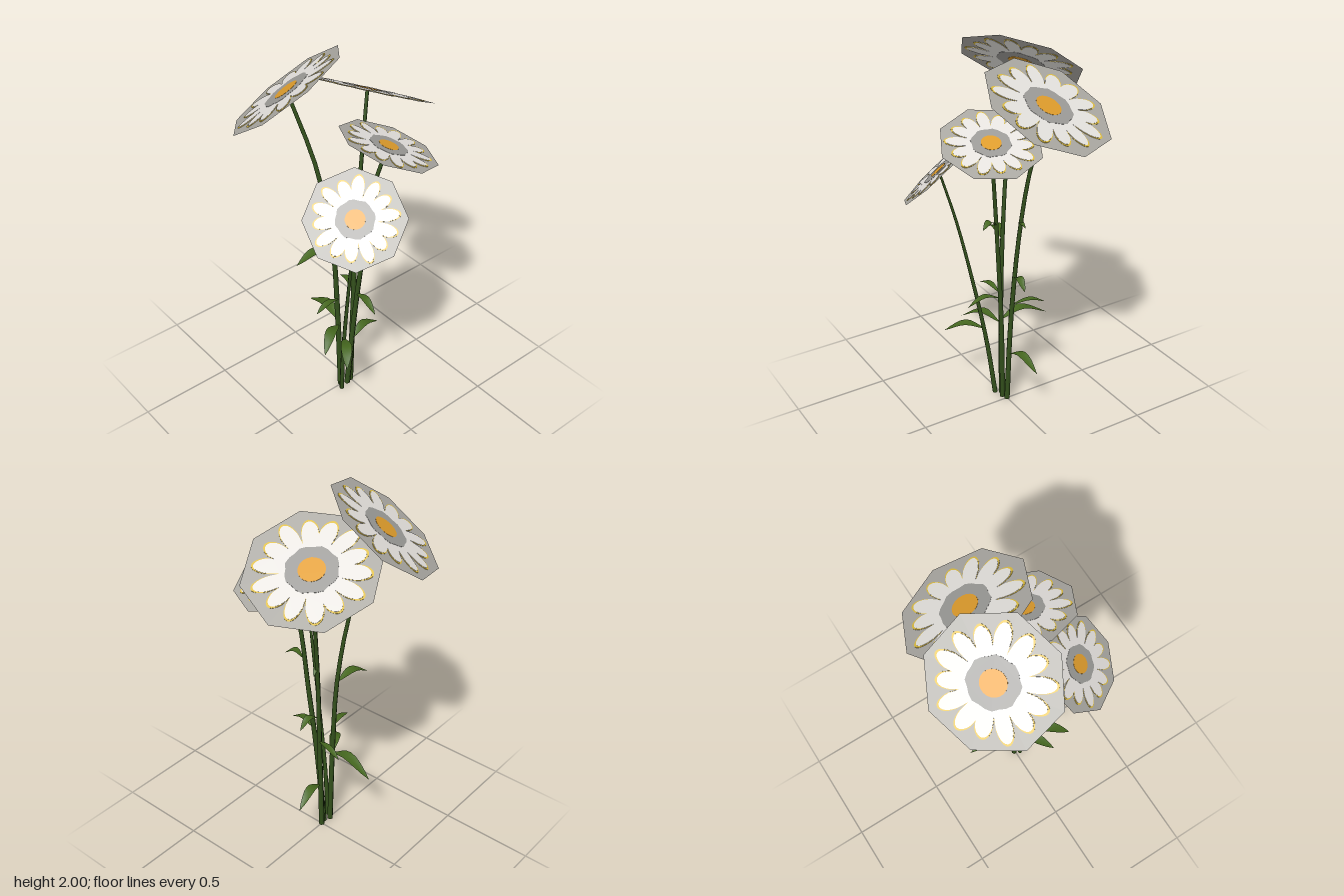
import * as THREE from 'three';

const mat = (name, color, side = THREE.FrontSide) => {
  const m = new THREE.MeshStandardMaterial({ color, side });
  m.name = name;
  return m;
};
const V = (p) => new THREE.Vector3(...p);

export function createModel() {
  const model = new THREE.Group();
  model.name = 'daisyBunch';
  const grey = mat('blossom grey', 0xaaa8a2, THREE.DoubleSide);
  const ringGrey = mat('ring grey', 0x9c9b98);
  const yellow = mat('petal edge yellow', 0xdcbc42);
  const white = mat('petal white', 0xe6e3df);
  const orange = mat('centre orange', 0xdf9d2c);
  const stemGreen = mat('stem green', 0x33501c);
  const leafGreen = mat('leaf green', 0x45671f, THREE.DoubleSide);

  const add = (parent, name, geometry, material) => {
    const mesh = new THREE.Mesh(geometry, material);
    mesh.name = name;
    parent.add(mesh);
    return mesh;
  };

  // Thin plate centred on the blossom plane, painted on both faces
  const plate = (points, thickness) =>
    new THREE.ExtrudeGeometry(new THREE.Shape(points), { depth: thickness, bevelEnabled: false })
      .translate(0, 0, -thickness / 2);

  const polar = (count, radius) => Array.from({ length: count }, (_, i) => {
    const a = (i / count) * Math.PI * 2, r = radius(i);
    return new THREE.Vector2(Math.cos(a) * r, Math.sin(a) * r);
  });

  // Outline of fourteen rounded petals with uneven lengths and gaps
  const PETALS = 14, STEPS = 12;
  const petalOutline = (R, inset) => polar(PETALS * STEPS, (i) => {
    const k = Math.floor(i / STEPS), t = (i % STEPS) / STEPS;
    const tip = 0.84 + 0.04 * Math.sin(k * 2.3);
    const gap = (j) => 0.53 + 0.08 * Math.sin((j % PETALS) * 4.1);
    const valley = gap(k) * (1 - t) + gap(k + 1) * t;
    return R * (valley + (tip - valley) * Math.pow(Math.sin(Math.PI * t), 0.62) - inset);
  });

  // Flat octagonal blossom; slope gives the rise of its plane along x and z
  function blossom(center, R, [a, b], [dx, dz]) {
    const g = new THREE.Group();
    g.name = 'blossom';
    add(g, 'blossomDisc', new THREE.CircleGeometry(R, 8), grey);
    add(g, 'petalEdges', plate(petalOutline(R, 0), 0.003), yellow);
    add(g, 'petals', plate(petalOutline(R, 0.032), 0.0055), white);
    add(g, 'innerRing', plate(polar(24, (i) => R * (0.375 + 0.015 * Math.sin(i * 2.1))), 0.0075), ringGrey);
    add(g, 'flowerCentre', plate(polar(20, () => R * 0.195), 0.0095), orange);
    const n = new THREE.Vector3(-a, 1, -b).normalize();
    const u = new THREE.Vector3(dx, a * dx + b * dz, dz).normalize();
    const v = new THREE.Vector3().crossVectors(n, u);
    g.quaternion.setFromRotationMatrix(new THREE.Matrix4().makeBasis(u, v, n));
    g.position.copy(V(center));
    return g;
  }

  // Tube that narrows from the ground to the blossom
  function stem(points, r0, r1) {
    const curve = new THREE.CatmullRomCurve3(points.map(V));
    const SEG = 14, SIDES = 6;
    const geo = new THREE.TubeGeometry(curve, SEG, r0, SIDES, false);
    const pos = geo.attributes.position, p = new THREE.Vector3();
    for (let i = 0; i < pos.count; i++) {
      const t = Math.floor(i / (SIDES + 1)) / SEG;
      const c = curve.getPointAt(t);
      p.fromBufferAttribute(pos, i).sub(c).multiplyScalar(1 + (r1 / r0 - 1) * t).add(c);
      pos.setXYZ(i, p.x, Math.max(0, p.y), p.z);
    }
    return geo;
  }

  // Arching leaf: a folded strip, widest past the middle, pointed at the tip
  function leaf(start, mid, end, width) {
    const curve = new THREE.CatmullRomCurve3([start, mid, end].map(V));
    const side = V(end).sub(V(start)).cross(new THREE.Vector3(0, 1, 0)).normalize();
    const geo = new THREE.PlaneGeometry(1, 1, 2, 8);
    const pos = geo.attributes.position;
    for (let i = 0; i < pos.count; i++) {
      const s = pos.getX(i), t = 0.5 - pos.getY(i);
      const w = width * (0.12 * (1 - t) + Math.pow(Math.sin(Math.PI * Math.pow(t, 1.1)), 0.9));
      const p = curve.getPoint(t).addScaledVector(side, s * w);
      pos.setXYZ(i, p.x, p.y + Math.abs(s) * w * 0.25, p.z);
    }
    geo.computeVertexNormals();
    return geo;
  }

  const flowers = [
    { name: 'backLeftFlower', R: 0.324, slope: [0.442, 0.642], corner: [0.2875, 0.02], r: [0.016, 0.009],
      path: [[-0.065, 0, -0.005], [-0.078, 0.5, -0.01], [-0.09, 0.95, -0.03], [-0.135, 1.4, -0.09], [-0.208, 1.8, -0.21]] },
    { name: 'backRightFlower', R: 0.332, slope: [-0.508, 0.233], corner: [0.295, 0], r: [0.016, 0.009],
      path: [[0, 0, 0], [0.025, 0.5, -0.008], [0.065, 1, -0.03], [0.115, 1.35, -0.055], [0.193, 1.71, -0.105]] },
    { name: 'frontRightFlower', R: 0.251, slope: [-0.38, -0.12], corner: [0.235, 0.01], r: [0.016, 0.01],
      path: [[-0.03, 0, 0.01], [0, 0.5, 0.035], [0.025, 0.9, 0.068], [0.05, 1.3, 0.105], [0.105, 1.55, 0.152]] },
    { name: 'frontLeftFlower', R: 0.246, slope: [0.645, -0.707], corner: [0.21, 0.015], r: [0.013, 0.006],
      path: [[-0.082, 0, 0.025], [-0.1, 0.3, 0.06], [-0.12, 0.6, 0.11], [-0.158, 1.05, 0.2], [-0.198, 1.33, 0.27]] },
  ];
  for (const f of flowers) {
    const g = new THREE.Group();
    g.name = f.name;
    add(g, 'stem', stem(f.path, ...f.r), stemGreen);
    g.add(blossom(f.path.at(-1), f.R, f.slope, f.corner));
    model.add(g);
  }

  // Leaves: start on a stem, crest, tip, width
  const leaves = [
    [[0.015, 0.29, 0], [0.11, 0.33, -0.02], [0.23, 0.27, -0.04], 0.05],
    [[0.045, 0.76, -0.015], [0.11, 0.79, -0.005], [0.17, 0.74, 0], 0.04],
    [[-0.09, 0.92, -0.03], [-0.19, 0.95, -0.05], [-0.29, 0.9, -0.07], 0.055],
    [[0.04, 1.08, 0.085], [0.05, 1.115, 0.13], [0.07, 1.09, 0.18], 0.04],
    [[0.06, 1.07, -0.03], [0.08, 1.085, -0.03], [0.11, 1.06, -0.04], 0.025],
    [[-0.08, 0.62, 0], [-0.16, 0.64, 0.01], [-0.24, 0.615, 0.02], 0.035],
    [[0.005, 0.64, 0.045], [-0.01, 0.665, 0.13], [-0.02, 0.625, 0.22], 0.04],
    [[0.035, 0.6, -0.01], [0.065, 0.62, -0.1], [0.08, 0.59, -0.18], 0.035],
    [[-0.08, 0.44, 0], [-0.17, 0.475, 0.05], [-0.27, 0.42, 0.12], 0.055],
    [[-0.105, 0.41, 0.075], [-0.16, 0.44, 0.16], [-0.23, 0.39, 0.25], 0.055],
    [[-0.07, 0.46, -0.01], [-0.06, 0.5, -0.12], [-0.05, 0.43, -0.28], 0.06],
  ];
  for (const l of leaves) add(model, 'leaf', leaf(...l), leafGreen);

  return model;
}
